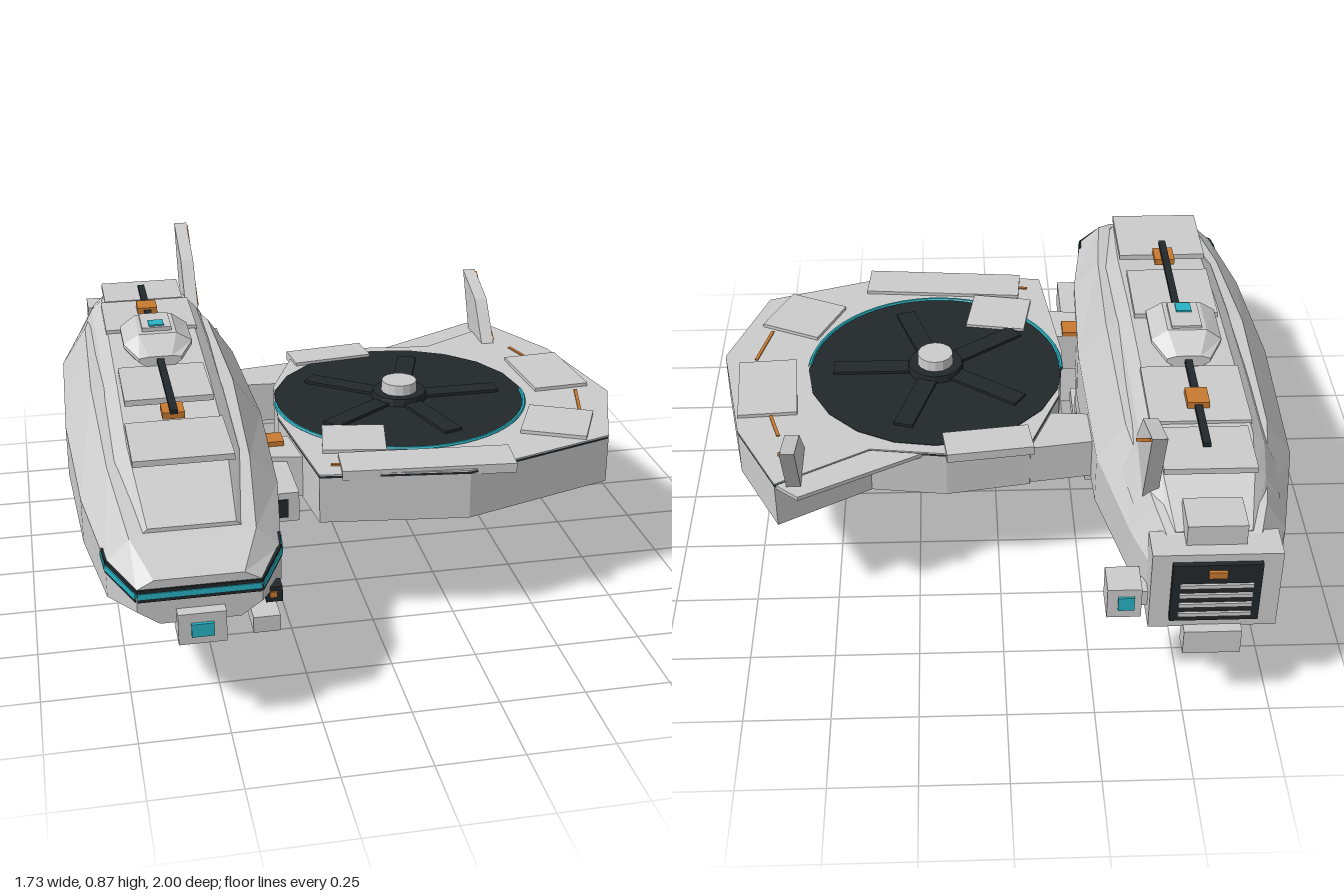
import * as THREE from 'three';

const mat = (color) => new THREE.MeshStandardMaterial({ color, flatShading: true, side: THREE.DoubleSide });
const CX = -0.565; // fuselage centre line
const FX = 0.19;   // fan centre

// Closed loft through rings of [x, y], front to back
function loft(stations, ringAt) {
  const rings = stations.map(ringAt), n = rings[0].length, pos = [], idx = [];
  rings.forEach((r, i) => r.forEach(([x, y]) => pos.push(x, y, stations[i][0])));
  for (let i = 0; i < rings.length - 1; i++) {
    for (let j = 0; j < n; j++) {
      const k = (j + 1) % n, a = i * n + j, b = i * n + k, c = a + n, d = b + n;
      idx.push(a, c, b, b, c, d);
    }
  }
  const last = (rings.length - 1) * n;
  for (let j = 1; j < n - 1; j++) idx.push(0, j, j + 1, last, last + j + 1, last + j);
  const g = new THREE.BufferGeometry();
  g.setAttribute('position', new THREE.Float32BufferAttribute(pos, 3));
  g.setIndex(idx);
  const flat = g.toNonIndexed();
  flat.computeVertexNormals();
  return flat;
}

// Right half of a section (bottom to top), mirrored into a counter-clockwise ring
const mirrorRing = (half) => [
  ...half.map(([w, y]) => [CX + w, y]),
  ...half.slice().reverse().map(([w, y]) => [CX - w, y]),
];

// Flat slab from an [x, z] outline
function slab(points, y0, y1, holeRadius) {
  const s = new THREE.Shape(points.map(([x, z]) => new THREE.Vector2(x, -z)));
  if (holeRadius) {
    const hole = [];
    for (let i = 0; i < 14; i++) {
      const a = -(i / 14) * Math.PI * 2;
      hole.push(new THREE.Vector2(FX + holeRadius * Math.cos(a), holeRadius * Math.sin(a)));
    }
    s.holes.push(new THREE.Path(hole));
  }
  return new THREE.ExtrudeGeometry(s, { depth: y1 - y0, bevelEnabled: false }).rotateX(-Math.PI / 2).translate(0, y0, 0);
}

export function createModel() {
  const root = new THREE.Group();
  const grey = mat(0xcccccc), dark = mat(0x22282b), cyan = mat(0x27b3c4), orange = mat(0xc87a30);
  const add = (name, geo, m = grey) => {
    const mesh = new THREE.Mesh(geo, m);
    mesh.name = name;
    root.add(mesh);
    return mesh;
  };
  // Box given by its extents
  const box = (name, x0, x1, y0, y1, z0, z1, m) => {
    const b = add(name, new THREE.BoxGeometry(x1 - x0, y1 - y0, z1 - z0), m);
    b.position.set((x0 + x1) / 2, (y0 + y1) / 2, (z0 + z1) / 2);
  };
  // Box centred on the fuselage line
  const mid = (name, hw, y0, y1, z0, z1, m) => box(name, CX - hw, CX + hw, y0, y1, z0, z1, m);
  const cyl = (name, r0, r1, x, y0, y1, z, m, seg = 14) => {
    const c = add(name, new THREE.CylinderGeometry(r1, r0, y1 - y0, seg), m);
    c.position.set(x, (y0 + y1) / 2, z);
  };
  // Thin bar between two points
  const bar = (name, a, b, w, h, m) => {
    const p = new THREE.Vector3(...a), q = new THREE.Vector3(...b);
    const o = add(name, new THREE.BoxGeometry(w, h, p.distanceTo(q)), m);
    o.position.copy(p).lerp(q, 0.5);
    o.lookAt(q);
  };

  // Hull: z, half width, bottom, low chine, high chine, top
  add('hull', loft([
    [0.955, 0.165, 0.335, 0.375, 0.44, 0.465], [0.83, 0.235, 0.315, 0.36, 0.465, 0.525],
    [0.5, 0.28, 0.305, 0.355, 0.49, 0.58], [0.05, 0.3, 0.295, 0.355, 0.515, 0.635],
    [-0.48, 0.285, 0.295, 0.355, 0.515, 0.635], [-0.8, 0.215, 0.31, 0.36, 0.5, 0.6],
    [-0.9, 0.175, 0.33, 0.37, 0.48, 0.56],
  ], ([, w, b, c, d, t]) => mirrorRing([[w * 0.65, b], [w, c], [w, d], [w * 0.72, t]])));

  // Raised spine: z, base, top, width scale
  add('spine', loft([
    [0.81, 0.48, 0.54, 0.85], [0.46, 0.52, 0.62, 1], [0.1, 0.55, 0.665, 1],
    [-0.3, 0.56, 0.685, 1], [-0.6, 0.56, 0.685, 1], [-0.72, 0.55, 0.66, 0.92], [-0.88, 0.5, 0.57, 0.75],
  ], ([, b, t, s]) => mirrorRing([[0.225 * s, b], [0.175 * s, t - 0.03], [0.14 * s, t]])));

  // Roof panels, stripe and markers
  for (const [z0, z1, y, hw] of [[0.4, 0.66, 0.668, 0.14], [0.02, 0.28, 0.685, 0.13], [-0.55, -0.28, 0.695, 0.145], [-0.76, -0.57, 0.69, 0.13]])
    mid('roofPanel', hw, y - 0.018, y, z0, z1);
  mid('roofStripe', 0.011, 0.695, 0.708, -0.67, 0.425, dark);
  mid('roofMarker', 0.032, 0.693, 0.715, -0.49, -0.415, orange);
  mid('roofMarker', 0.032, 0.672, 0.692, 0.33, 0.405, orange);

  // Roof dome, widest at mid height: z, half width, widest height, top
  add('roofDome', loft([[0.025, 0.065, 0.705, 0.715], [-0.04, 0.105, 0.73, 0.765], [-0.2, 0.105, 0.73, 0.77], [-0.265, 0.065, 0.705, 0.72]],
    ([, w, y, t]) => mirrorRing([[w * 0.7, 0.685], [w, y - 0.006], [w, y + 0.006], [w * 0.55, t]])));
  mid('domeCap', 0.045, 0.76, 0.778, -0.19, -0.06);
  mid('domeLight', 0.023, 0.765, 0.783, -0.115, -0.07, cyan);

  // Slim wraparound visor, nearly flush with the nose
  const visor = [[-0.238, 0.463, 0.77], [-0.232, 0.455, 0.83], [-0.163, 0.427, 0.955], [0.163, 0.427, 0.955], [0.232, 0.455, 0.83], [0.238, 0.463, 0.77]];
  for (let i = 0; i < 5; i++) {
    const [a, b] = [visor[i], visor[i + 1]].map(([x, y, z]) => [CX + x, y - 0.004, z]);
    bar('visorFrame', a, b, 0.01, 0.036, dark);
    bar('visorGlass', a, b, 0.016, 0.017, cyan);
  }
  mid('chinSensor', 0.064, 0.285, 0.375, 0.9, 0.99);
  mid('chinLens', 0.03, 0.31, 0.348, 0.985, 1, cyan);
  box('noseGun', -0.385, -0.34, 0.34, 0.385, 0.865, 0.91, dark);
  box('noseGunTip', -0.375, -0.355, 0.355, 0.372, 0.9, 0.915, orange);

  // Keel and belly turret
  mid('keel', 0.095, 0.225, 0.31, -0.71, 0.605, dark);
  mid('keelPanel', 0.065, 0.22, 0.24, -0.48, -0.24);
  cyl('turret', 0.07, 0.07, CX, 0.115, 0.226, 0.18, grey);
  cyl('turretRing', 0.045, 0.055, CX, 0.092, 0.116, 0.18, grey);
  cyl('turretLens', 0.034, 0.034, CX, 0.085, 0.095, 0.18, cyan);
  box('bellyPod', -0.405, -0.28, 0.175, 0.3, -0.165, 0.26);
  box('bellyPodLight', -0.345, -0.305, 0.157, 0.18, 0.14, 0.205, orange);
  box('bellyPlate', -0.735, -0.655, 0.278, 0.32, -0.3, 0.3);

  // Landing skid
  bar('skidStrut', [-0.325, 0.265, 0.355], [-0.4, 0.05, 0.355], 0.06, 0.045, dark);
  box('skidAnkle', -0.355, -0.29, 0.05, 0.1, 0.32, 0.39);
  box('skidFoot', -0.365, -0.283, 0, 0.052, 0.2, 0.505);

  // Engine block with grille
  mid('engine', 0.177, 0.305, 0.565, -0.97, -0.87);
  mid('engineTop', 0.082, 0.54, 0.63, -0.93, -0.81);
  mid('engineBottom', 0.08, 0.23, 0.31, -1, -0.94);
  mid('exhaust', 0.122, 0.34, 0.54, -0.985, -0.96, dark);
  for (let i = 0; i < 4; i++) mid('exhaustSlat', 0.1, 0.36 + i * 0.034, 0.373 + i * 0.034, -0.992, -0.98);
  mid('exhaustLight', 0.025, 0.5, 0.522, -0.995, -0.98, orange);
  box('sidePod', -0.37, -0.275, 0.325, 0.425, -0.95, -0.855);
  box('sidePodArm', -0.42, -0.36, 0.35, 0.4, -0.93, -0.87);
  box('sidePodLight', -0.35, -0.305, 0.355, 0.4, -0.957, -0.94, cyan);

  // Pylons to the fan
  add('rearPylon', slab([[-0.36, -0.36], [-0.08, -0.4], [-0.08, -0.22], [-0.36, -0.24]], 0.36, 0.49));
  add('frontPylon', slab([[-0.34, 0.19], [-0.19, 0.19], [-0.16, 0.35], [-0.34, 0.32]], 0.36, 0.49));
  box('pylonMarker', -0.275, -0.225, 0.475, 0.505, 0.19, 0.258, orange);
  box('sideSensor', -0.31, -0.23, 0.385, 0.475, 0.3, 0.545);
  box('sideSensorFace', -0.292, -0.262, 0.4, 0.455, 0.53, 0.55, dark);

  // Fan housing with a dark seam under its top skin
  const outline = [[-0.19, -0.16], [-0.09, -0.4], [0.16, -0.44], [0.385, -0.41], [0.655, -0.565], [0.785, -0.31],
    [0.86, 0.085], [0.745, 0.415], [0.27, 0.57], [-0.165, 0.515], [-0.215, 0.08]];
  add('fanHousing', slab(outline, 0.355, 0.497, 0.385));
  add('fanSeam', slab(outline, 0.497, 0.504, 0.385), dark);
  add('fanTopSkin', slab(outline, 0.504, 0.508, 0.385));
  add('fanTailPlate', slab([[0.23, -0.43], [0.585, -0.62], [0.65, -0.565], [0.385, -0.4]], 0.49, 0.503));
  cyl('fanDisc', 0.385, 0.385, FX, 0.4, 0.5, 0, dark);
  cyl('fanDiscTop', 0.4, 0.4, FX, 0.499, 0.51, 0, dark, 20);
  for (let i = 0; i < 5; i++) {
    const g = new THREE.BoxGeometry(0.28, 0.012, 0.06).translate(0.18, 0, 0);
    const b = add('fanBlade', g, dark);
    b.position.set(FX, 0.513, 0);
    b.rotation.y = (i / 5) * Math.PI * 2;
  }
  cyl('fanHubBase', 0.09, 0.085, FX, 0.505, 0.533, 0, dark);
  cyl('fanHub', 0.057, 0.055, FX, 0.53, 0.567, 0, grey);
  const arc = add('fanLightArc', new THREE.TorusGeometry(0.397, 0.006, 6, 28, Math.PI).rotateX(Math.PI / 2), cyan);
  arc.position.set(FX, 0.51, 0);
  arc.rotation.y = -0.05;

  // Armour plates on the housing: x, z, width, depth, turn in degrees, bottom
  for (const [x, z, w, d, deg, y0] of [[0.035, -0.39, 0.26, 0.11, 7, 0.49], [0.71, -0.1, 0.18, 0.28, 4, 0.49],
    [0.62, 0.3, 0.2, 0.2, -25, 0.49], [0.16, 0.485, 0.51, 0.13, -5, 0.49], [-0.02, 0.3, 0.19, 0.18, -10, 0.37]]) {
    const p = add('housingPlate', new THREE.BoxGeometry(w, 0.519 - y0, d));
    p.position.set(x, (0.519 + y0) / 2, z);
    p.rotation.y = THREE.MathUtils.degToRad(deg);
  }
  for (const [a, b] of [[[0.66, -0.34], [0.69, -0.24]], [[0.76, 0.06], [0.72, 0.22]], [[-0.12, 0.455], [-0.08, 0.465]]])
    bar('housingTrim', [a[0], 0.508, a[1]], [b[0], 0.508, b[1]], 0.01, 0.008, orange);

  // Swept fins from a [z, y] outline, with trim on the outer face
  const fin = (name, x, pts, from, to) => {
    const s = new THREE.Shape(pts.map(([z, y]) => new THREE.Vector2(-z, y)));
    add(name, new THREE.ExtrudeGeometry(s, { depth: 0.042, bevelEnabled: false }).rotateY(Math.PI / 2).translate(x, 0, 0));
    bar(name + 'Trim', [x + 0.042, from[1], from[0]], [x + 0.042, to[1], to[0]], 0.008, 0.01, orange);
  };
  fin('hullFin', -0.425, [[-0.5, 0.58], [-0.66, 0.79], [-0.85, 0.865], [-0.74, 0.58]], [-0.58, 0.655], [-0.84, 0.855]);
  fin('fanFin', 0.578, [[-0.39, 0.5], [-0.5, 0.635], [-0.66, 0.69], [-0.57, 0.5]], [-0.41, 0.515], [-0.65, 0.683]);

  return root;
}
